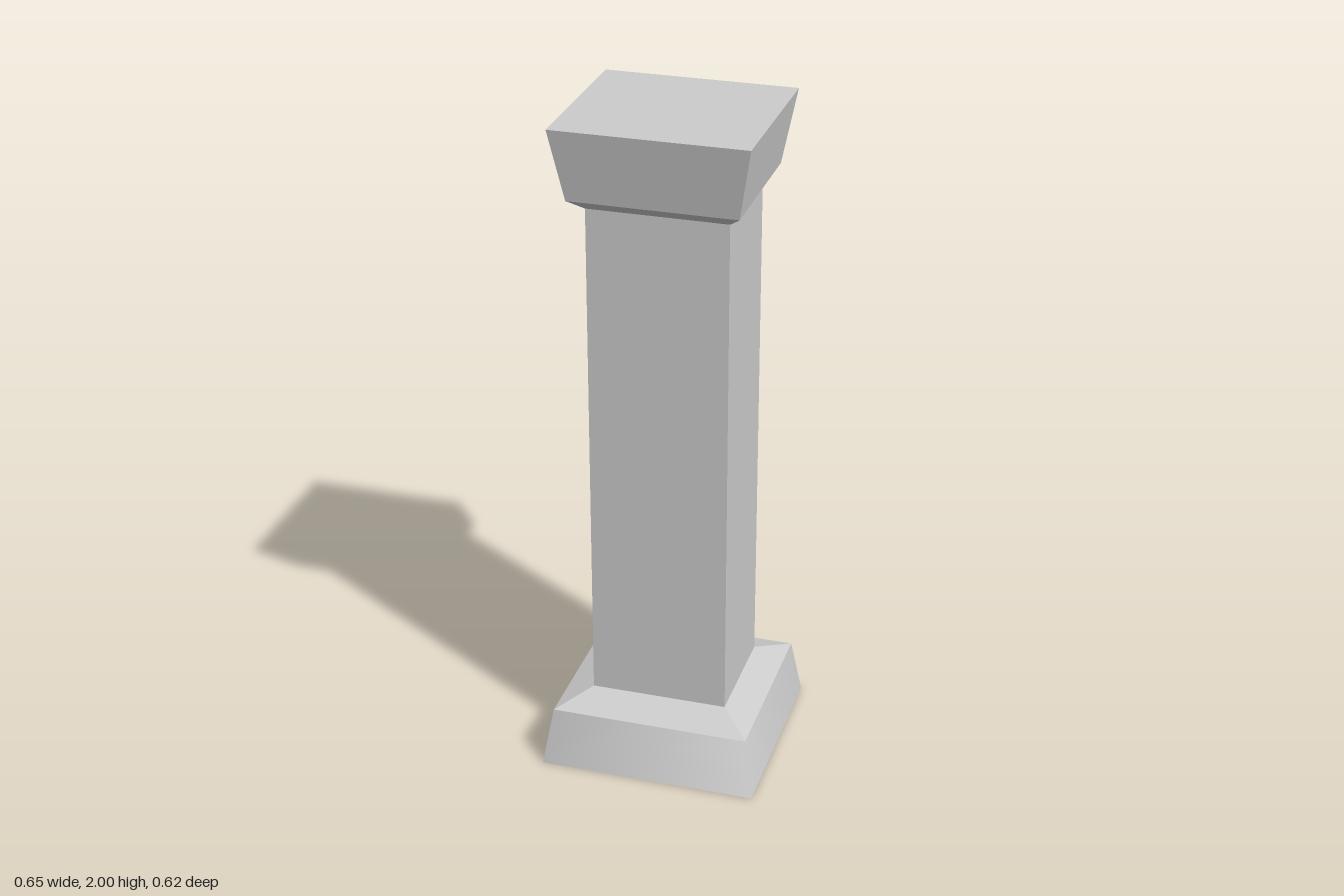
import * as THREE from 'three';

// Corners of a rectangular section, anticlockwise from above, starting front left (+x +z)
const corners = ({ y, x, z }) => [[x, y, z], [x, y, -z], [-x, y, -z], [-x, y, z]];

// Open four-sided band between two sections, with flat faces
function bandGeometry(lower, upper) {
  const a = corners(lower), b = corners(upper), points = [];
  for (let i = 0; i < 4; i++) {
    const j = (i + 1) % 4;
    points.push(a[i], a[j], b[j], a[i], b[j], b[i]);
  }
  const geometry = new THREE.BufferGeometry();
  geometry.setAttribute('position', new THREE.Float32BufferAttribute(points.flat(), 3));
  geometry.computeVertexNormals();
  return geometry;
}

// Blend the normals along the one softened edge, at +x +z
function softenFrontEdge(geometry) {
  const { position, normal } = geometry.attributes;
  const face = (i) => new THREE.Vector3().fromBufferAttribute(normal, i);
  const soft = face(0).add(face(18)).normalize();
  for (let i = 0; i < position.count; i++) {
    if (position.getX(i) > 0 && position.getZ(i) > 0) normal.setXYZ(i, soft.x, soft.y, soft.z);
  }
  return geometry;
}

export function createModel() {
  const model = new THREE.Group();
  model.name = 'pillar';
  const stone = new THREE.MeshStandardMaterial({ color: 0xcccccc, side: THREE.DoubleSide });
  stone.name = 'grey stone';

  // Sections from the ground up; the underside is open
  const sections = [
    { y: 0, x: 0.325, z: 0.308 },
    { y: 0.177, x: 0.296, z: 0.279 },
    { y: 0.213, x: 0.204, z: 0.173 },
    { y: 1.753, x: 0.204, z: 0.173 },
    { y: 1.789, x: 0.243, z: 0.222 },
    { y: 2, x: 0.281, z: 0.258 },
  ];
  const names = ['baseSkirt', 'baseLedge', 'shaft', 'capitalUnderside', 'capital'];

  names.forEach((name, i) => {
    const geometry = bandGeometry(sections[i], sections[i + 1]);
    if (name === 'baseSkirt') softenFrontEdge(geometry);
    const mesh = new THREE.Mesh(geometry, stone);
    mesh.name = name;
    model.add(mesh);
  });

  // Flat top of the capital
  const rim = sections[5];
  const top = new THREE.Mesh(new THREE.PlaneGeometry(rim.x * 2, rim.z * 2).rotateX(-Math.PI / 2), stone);
  top.position.y = rim.y;
  top.name = 'capitalTop';
  model.add(top);

  return model;
}
